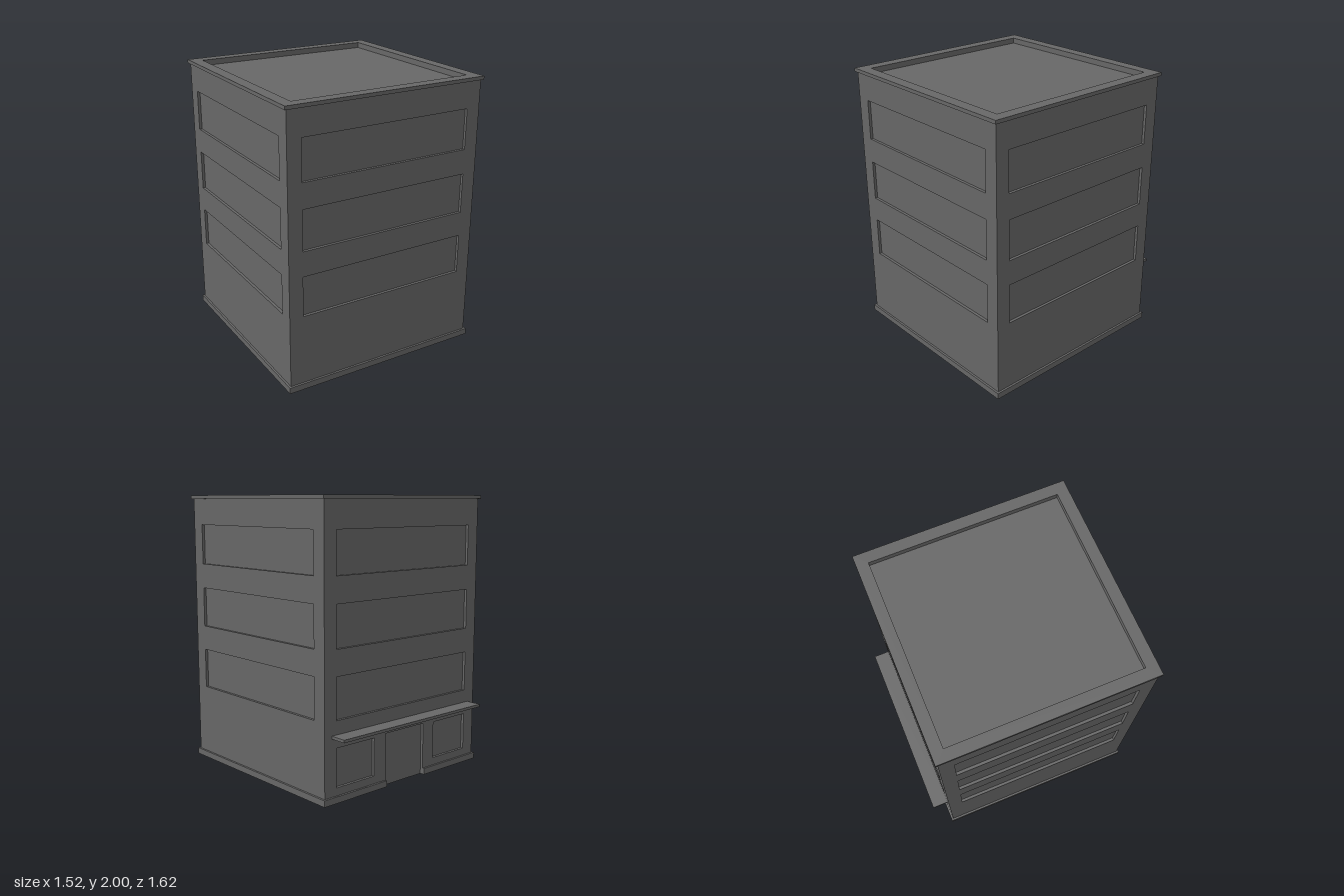
import * as THREE from 'three';

const OUT = 0.745, RIM = 0.76, IN = 0.676; // wall face, trim face and parapet inside, from the axis
const PLINTH = 0.045, CORNICE = 1.975, TOP = 2;
const PX = 0, PY = 2, NY = 3, PZ = 4, NZ = 5; // sides of a box, in face order
const material = new THREE.MeshStandardMaterial({ color: 0x676767, flatShading: true, side: THREE.DoubleSide });

function mesh(name, geometry, parent) {
  const m = new THREE.Mesh(geometry, material);
  m.name = name;
  parent.add(m);
  return m;
}

// Thin-walled box with some sides left open
function shell(name, [x0, x1], [y0, y1], [z0, z1], open, parent) {
  const g = new THREE.BoxGeometry(x1 - x0, y1 - y0, z1 - z0);
  const index = Array.from(g.index.array);
  g.setIndex(index.filter((_, i) => !open.includes(PX + Math.floor(i / 6))));
  g.translate((x0 + x1) / 2, (y0 + y1) / 2, (z0 + z1) / 2);
  return mesh(name, g, parent);
}

const polygon = (pts) => pts.map(([x, y]) => new THREE.Vector2(x, y));
const rectangle = ([x0, x1], [y0, y1]) => polygon([[x0, y0], [x1, y0], [x1, y1], [x0, y1]]);

// One wall sheet facing +z, with recessed windows, plinth and cornice
function wall(name, isEntrance) {
  const group = new THREE.Group();
  group.name = name;
  const door = 0.19, doorTop = 0.38, recess = [OUT - 0.02, OUT];

  const outline = [[-OUT, PLINTH]];
  if (isEntrance) outline.push([-door, PLINTH], [-door, doorTop], [door, doorTop], [door, PLINTH]);
  outline.push([OUT, PLINTH], [OUT, CORNICE], [-OUT, CORNICE]);
  const shape = new THREE.Shape(polygon(outline));

  const windows = [0.555, 1.025, 1.495].map((y) => [[-0.642, 0.642], [y, y + 0.29]]);
  if (isEntrance) windows.push([[-0.642, -0.3], [0.1, 0.37]], [[0.3, 0.642], [0.1, 0.37]]);
  for (const [xs, ys] of windows) {
    shape.holes.push(new THREE.Path(rectangle(xs, ys)));
    shell('windowRecess', xs, ys, recess, [PZ], group);
  }
  mesh('wallPanel', new THREE.ShapeGeometry(shape).translate(0, 0, OUT), group);

  // The plinth stops either side of the door
  if (isEntrance) shell('doorRecess', [-door, door], [0, doorTop], recess, [PZ, NY], group);
  const runs = isEntrance ? [[-RIM, -door], [door, RIM]] : [[-RIM, RIM]];
  for (const run of runs) shell('plinth', run, [0, PLINTH], [OUT, RIM], [NY, NZ], group);
  shell('cornice', [-RIM, RIM], [CORNICE, TOP], [OUT, RIM], [PY, NZ], group);
  return group;
}

export function createModel() {
  const model = new THREE.Group();
  model.name = 'building';
  const body = new THREE.Group();
  body.name = 'buildingBody';
  body.position.z = 0.05;
  model.add(body);

  // Four walls; the entrance is at the back
  ['frontWall', 'leftWall', 'backWall', 'rightWall'].forEach((name, i) => {
    const w = wall(name, name === 'backWall');
    w.rotation.y = i * Math.PI / 2;
    body.add(w);
  });

  // Flat parapet top around the sunken roof
  const ring = new THREE.Shape(rectangle([-RIM, RIM], [-RIM, RIM]));
  ring.holes.push(new THREE.Path(rectangle([-IN, IN], [-IN, IN])));
  mesh('parapetTop', new THREE.ShapeGeometry(ring).rotateX(-Math.PI / 2).translate(0, TOP, 0), body);
  shell('sunkenRoof', [-IN, IN], [1.96, TOP], [-IN, IN], [PY], body);

  // Canopy over the entrance
  shell('entranceCanopy', [-0.682, 0.682], [0.44, 0.46], [-0.863, -OUT], [NZ - 1], body);
  return model;
}
